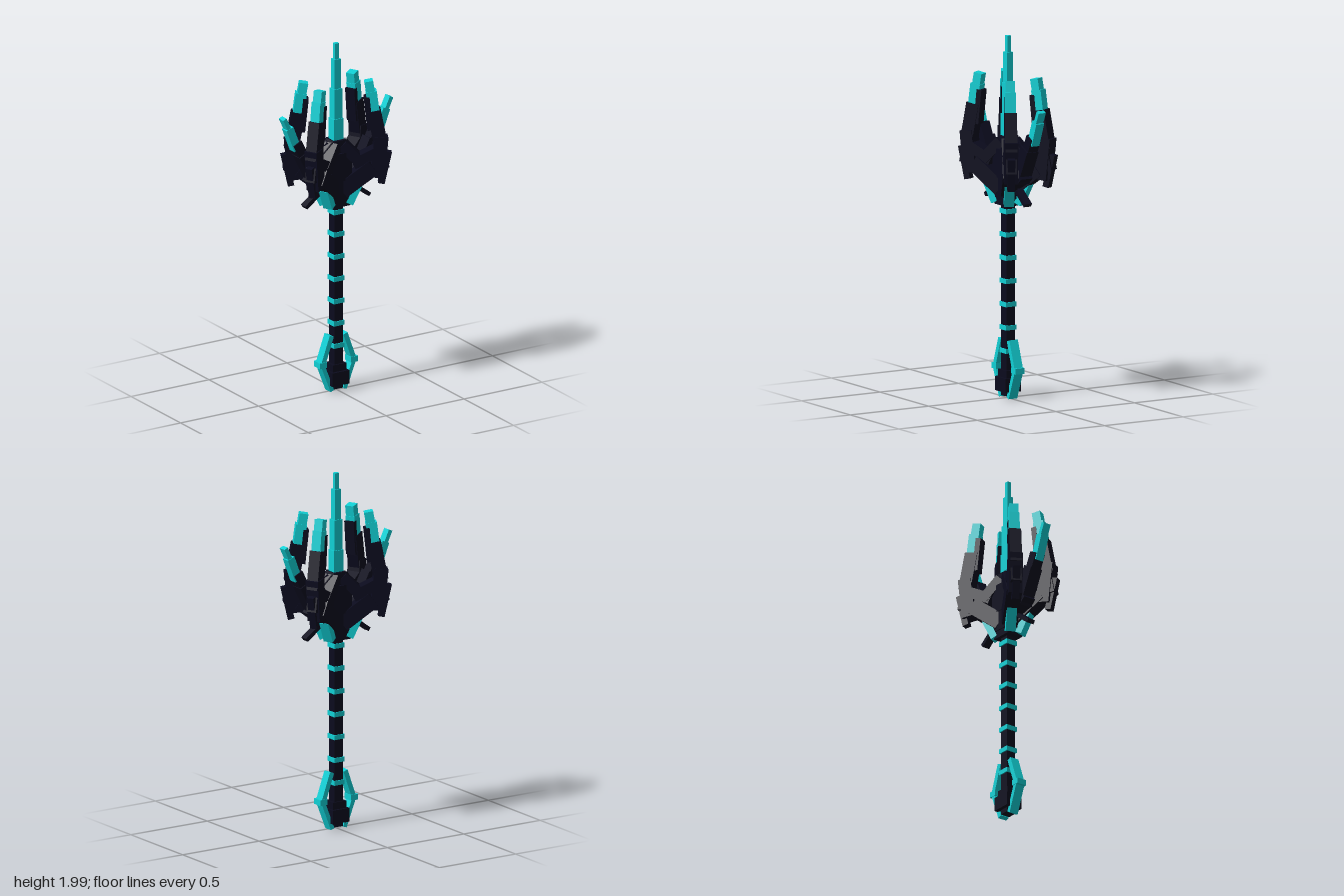
import * as THREE from 'three';

export function createModel() {
  const model = new THREE.Group();
  model.name = 'scepter';
  const dark = new THREE.MeshStandardMaterial({ name: 'midnight metal', color: 0x0b0b1e });
  const cyan = new THREE.MeshStandardMaterial({ name: 'cyan crystal', color: 0x11d0d5 });

  const body = new THREE.Group();
  body.name = 'body';
  body.position.z = -0.005;
  model.add(body);

  // Upright square block between two heights
  function block(name, half, y0, y1, mat, halfZ = half) {
    const mesh = new THREE.Mesh(new THREE.BoxGeometry(half * 2, y1 - y0, halfZ * 2), mat);
    mesh.name = name;
    mesh.position.y = (y0 + y1) / 2;
    body.add(mesh);
  }

  // Box running between two points of a radial plane
  function bar(parent, name, [x0, y0], [x1, y1], thick, width, mat) {
    const length = Math.hypot(x1 - x0, y1 - y0);
    const mesh = new THREE.Mesh(new THREE.BoxGeometry(thick, length, width), mat);
    mesh.name = name;
    mesh.position.set((x0 + x1) / 2, (y0 + y1) / 2, 0);
    mesh.rotation.z = -Math.atan2(x1 - x0, y1 - y0);
    parent.add(mesh);
  }

  function radial(name, angle) {
    const group = new THREE.Group();
    group.name = name;
    group.rotation.y = angle;
    body.add(group);
    return group;
  }

  // Shaft, rings and pommel
  block('shaft', 0.028, 0.02, 1.12, dark);
  for (let i = 0; i < 7; i++) {
    const y = 0.268 + i * 0.128;
    block('shaftRing', 0.034, y - 0.013, y + 0.013, cyan);
  }
  block('pommel', 0.055, 0.045, 0.122, dark, 0.05);
  block('pommelCollar', 0.043, 0.122, 0.162, dark, 0.036);

  // Head core
  block('headCollar', 0.06, 1.07, 1.13, dark, 0.05);
  block('headBase', 0.075, 1.11, 1.24, dark, 0.055);
  block('headCore', 0.065, 1.22, 1.38, dark, 0.06);
  block('headCap', 0.035, 1.36, 1.45, dark, 0.045);

  // Central spike in shrinking steps
  [[0.031, 1.41, 1.57], [0.026, 1.57, 1.74], [0.02, 1.74, 1.91], [0.013, 1.91, 2.0]]
    .forEach(([half, y0, y1]) => block('spike', half, y0, y1, cyan, half * 0.9));

  // Side prongs, lower struts and the pommel cage
  for (const angle of [0, Math.PI]) {
    const prong = radial('sideProng', angle);
    bar(prong, 'sideRoot', [0.03, 1.16], [0.17, 1.27], 0.08, 0.075, dark);
    bar(prong, 'sideArm', [0.13, 1.22], [0.225, 1.41], 0.07, 0.075, dark);
    bar(prong, 'sideKnuckle', [0.205, 1.36], [0.265, 1.48], 0.055, 0.062, dark);
    bar(prong, 'sideBrace', [0.02, 1.43], [0.12, 1.34], 0.05, 0.07, dark);
    bar(prong, 'sideCrystal', [0.26, 1.44], [0.31, 1.57], 0.046, 0.05, cyan);
    bar(prong, 'sideCrystalTip', [0.3, 1.54], [0.342, 1.63], 0.024, 0.046, cyan);
    bar(prong, 'lowerStrut', [0.09, 1.18], [0.205, 1.095], 0.022, 0.045, dark);

    const cage = radial('pommelCage', angle);
    bar(cage, 'cageLower', [0.04, 0.012], [0.1, 0.165], 0.024, 0.054, cyan);
    bar(cage, 'cageUpper', [0.1, 0.17], [0.044, 0.328], 0.028, 0.054, cyan);
    bar(cage, 'cageKnot', [0.1, 0.154], [0.1, 0.186], 0.046, 0.06, cyan);
  }

  // Diagonal prongs with hanging plates and base petals
  const spread = THREE.MathUtils.degToRad(28);
  for (const angle of [spread, -spread, Math.PI + spread, Math.PI - spread]) {
    const prong = radial('diagonalProng', angle);
    bar(prong, 'prongRoot', [0.03, 1.16], [0.2, 1.29], 0.09, 0.085, dark);
    bar(prong, 'prongBrace', [0.03, 1.42], [0.14, 1.31], 0.06, 0.08, dark);
    bar(prong, 'prongBridge', [0.09, 1.31], [0.23, 1.38], 0.06, 0.075, dark);
    bar(prong, 'prongLower', [0.22, 1.23], [0.245, 1.46], 0.075, 0.075, dark);
    bar(prong, 'prongUpper', [0.245, 1.4], [0.205, 1.61], 0.075, 0.066, dark);
    bar(prong, 'prongSpine', [0.185, 1.5], [0.165, 1.69], 0.03, 0.058, dark);
    bar(prong, 'prongCrystal', [0.207, 1.59], [0.19, 1.72], 0.06, 0.055, cyan);
    bar(prong, 'prongCrystalTip', [0.19, 1.7], [0.176, 1.78], 0.048, 0.05, cyan);
    bar(prong, 'hangingPlate', [0.285, 1.37], [0.245, 1.19], 0.035, 0.04, dark);
    bar(prong, 'platePin', [0.23, 1.32], [0.28, 1.33], 0.09, 0.06, dark);
    bar(prong, 'basePetal', [0.072, 1.08], [0.125, 1.195], 0.04, 0.055, cyan);
  }

  return model;
}
